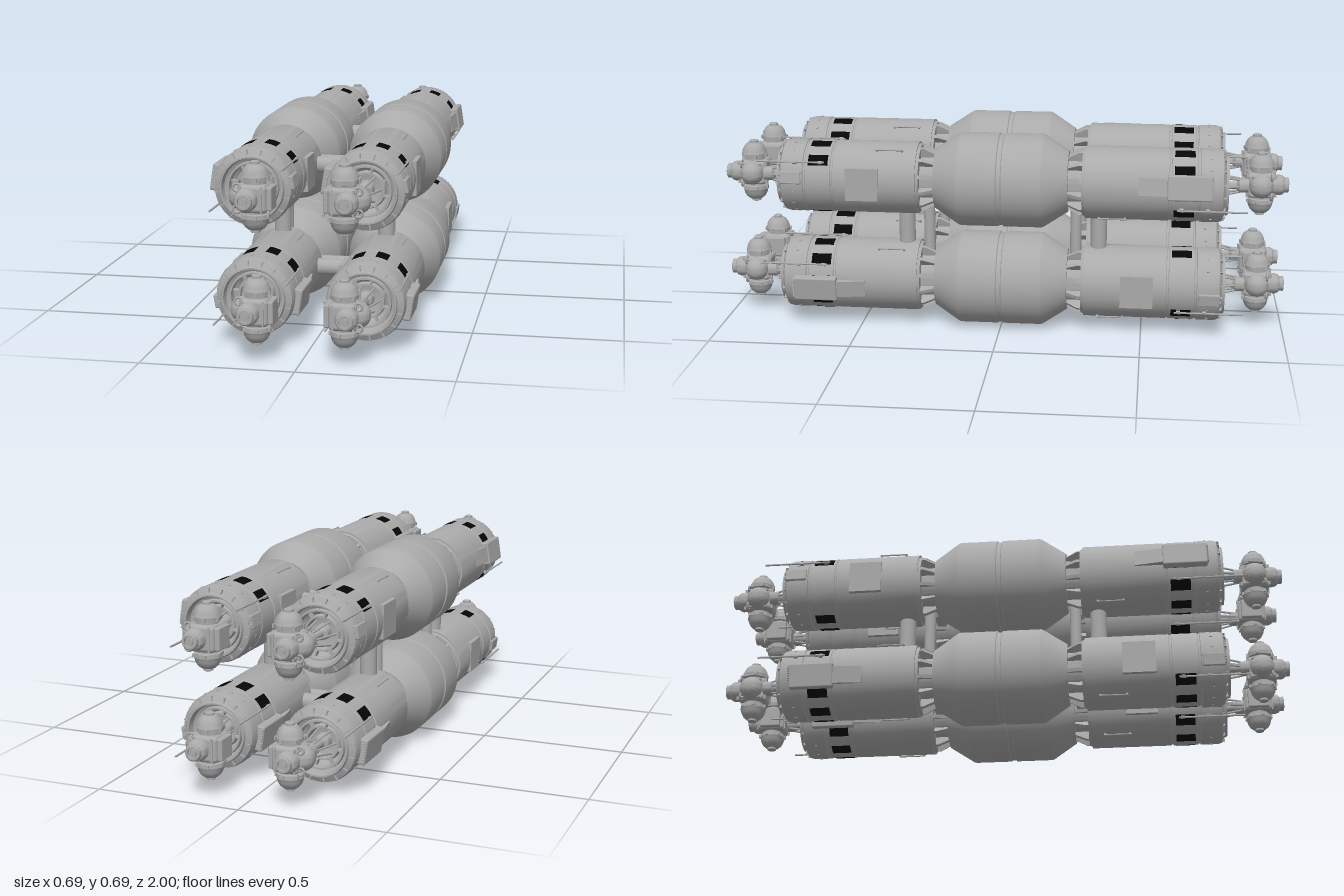
import * as THREE from 'three';
import { toCreasedNormals } from 'three/addons/utils/BufferGeometryUtils.js';
import { RoundedBoxGeometry } from 'three/addons/geometries/RoundedBoxGeometry.js';

const hull = new THREE.MeshStandardMaterial({ color: 0xaaaaaa });
hull.name = 'hullGrey';
const dark = new THREE.MeshStandardMaterial({ color: 0x060606 });
dark.name = 'windowBlack';
const rad = THREE.MathUtils.degToRad;

function add(parent, name, geometry, x = 0, y = 0, z = 0, material = hull) {
  const mesh = new THREE.Mesh(geometry, material);
  mesh.name = name;
  mesh.position.set(x, y, z);
  parent.add(mesh);
  return mesh;
}

// Turned body along z from [radius, z] pairs
function turned(profile, sides = 48) {
  const g = new THREE.LatheGeometry(profile.map(([r, z]) => new THREE.Vector2(r, z)), sides);
  return toCreasedNormals(g.rotateX(Math.PI / 2), rad(25));
}
const rodZ = (r, length, sides = 12) =>
  new THREE.CylinderGeometry(r, r, length, sides).rotateX(Math.PI / 2);
const box = (w, h, d) => new THREE.BoxGeometry(w, h, d);

// Group turned so that its local +x points outwards at the given angle
function spoke(parent, name, degrees) {
  const g = new THREE.Group();
  g.name = name;
  g.rotation.z = rad(degrees);
  parent.add(g);
  return g;
}

function makeModule() {
  const m = new THREE.Group();
  m.name = 'endModule';
  add(m, 'moduleShell', turned([
    [0, 0.285], [0.118, 0.285], [0.122, 0.295], [0.128, 0.295], [0.128, 0.585], [0.125, 0.587],
    [0.125, 0.593], [0.128, 0.595], [0.128, 0.683], [0.125, 0.685], [0.125, 0.691], [0.129, 0.693],
    [0.129, 0.755], [0.125, 0.77], [0.106, 0.78], [0.103, 0.79], [0.098, 0.79], [0.094, 0.765],
    [0.085, 0.76], [0.083, 0.773], [0.077, 0.773], [0.074, 0.745], [0.062, 0.735], [0.058, 0.75],
    [0.052, 0.75], [0.048, 0.72], [0, 0.71],
  ]));
  // Square windows round the band, left out behind the side plate
  for (let k = 0; k < 10; k++) {
    const a = 2 + 36 * k;
    if (k === 0 || k === 9) continue;
    add(m, 'window', new THREE.CylinderGeometry(0.1295, 0.1295, 0.07, 4, 1, true, rad(a + 81), rad(18))
      .rotateX(Math.PI / 2), 0, 0, 0.638, dark);
  }
  // Rim blocks, studs and tapered struts at the neck
  for (let k = 0; k < 16; k++) {
    const s = spoke(m, 'rimDetail', k * 22.5 + 8);
    add(s, 'rimBlock', box(0.018, 0.004, 0.008), 0.115, 0, 0.776);
    add(s, 'rimStud', box(0.004, 0.008, 0.008), 0.129, 0, 0.73);
    if (k % 2) add(s, 'recessRib', box(0.03, 0.006, 0.02), 0.072, 0, 0.75);
  }
  const strut = new THREE.Shape([[0.075, 0.22], [0.098, 0.235], [0.118, 0.275], [0.118, 0.29], [0.075, 0.29]]
    .map(([r, z]) => new THREE.Vector2(r, z)));
  for (let k = 0; k < 12; k++) {
    const s = spoke(m, 'neckStrut', k * 30 + 15);
    add(s, 'strutFin', new THREE.ExtrudeGeometry(strut, { depth: 0.012, bevelEnabled: false })
      .translate(0, 0, -0.006).rotateX(Math.PI / 2));
  }
  // Louvred box, its fairing and an aerial on one side
  const vent = spoke(m, 'radiator', 171);
  add(vent, 'radiatorBox', new RoundedBoxGeometry(0.032, 0.088, 0.155, 2, 0.006), 0.132, 0, 0.657);
  for (let k = 0; k < 8; k++)
    add(vent, 'louvre', box(0.018, 0.004, 0.008), 0.136, -0.032 + k * 0.009, 0.735);
  const ramp = new THREE.Shape([[0.12, 0.48], [0.129, 0.48], [0.143, 0.585], [0.12, 0.585]]
    .map(([r, z]) => new THREE.Vector2(r, z)));
  add(vent, 'radiatorFairing', new THREE.ExtrudeGeometry(ramp, { depth: 0.06, bevelEnabled: false })
    .translate(0, 0, -0.03).rotateX(Math.PI / 2));
  // Flat service plate and sensor block on the other side
  add(m, 'servicePlate', box(0.016, 0.115, 0.115), 0.122, 0, 0.482);
  const sensor = spoke(m, 'sensorBlock', 9);
  add(sensor, 'sensorHousing', new RoundedBoxGeometry(0.016, 0.045, 0.075, 2, 0.004), 0.127, 0, 0.735);
  for (const y of [-0.01, 0.01])
    add(sensor, 'sensorLens', rodZ(0.005, 0.006), 0.127, y, 0.774);
  // Aerials with their mounts
  for (const a of [33, 208]) {
    const s = spoke(m, 'aerial', a);
    add(s, 'aerialRod', rodZ(0.0035, 0.24, 8), 0.136, 0, 0.735);
    for (const z of [0.63, 0.72]) add(s, 'aerialMount', box(0.014, 0.01, 0.014), 0.131, 0, z);
  }
  // Handrail and small hatch outline
  for (const a of [58, 238]) {
    const s = spoke(m, 'handrail', a);
    add(s, 'rail', rodZ(0.003, 0.1, 6), 0.134, 0, 0.39);
    for (const z of [0.345, 0.435]) add(s, 'railPost', box(0.012, 0.006, 0.006), 0.129, 0, z);
  }
  return m;
}

function makePod() {
  const p = new THREE.Group();
  p.name = 'dockedPod';
  // Docking lattice between module and pod
  add(p, 'dockingCore', turned([[0, 0.7], [0.028, 0.7], [0.024, 0.74], [0.013, 0.75], [0.013, 0.82], [0.025, 0.83], [0.025, 0.86], [0, 0.86]], 20), 0.006);
  for (let k = 0; k < 6; k++) {
    const a = k * Math.PI / 3;
    const path = new THREE.LineCurve3(
      new THREE.Vector3(0.045 * Math.cos(a), 0.045 * Math.sin(a), 0.73),
      new THREE.Vector3(0.012 + 0.02 * Math.cos(a), 0.02 * Math.sin(a), 0.85));
    add(p, 'latticeRod', new THREE.TubeGeometry(path, 1, 0.004, 6));
  }
  // Central body with a forward port
  const body = new THREE.Group();
  body.name = 'podBody';
  body.position.set(0.042, 0, 0.905);
  p.add(body);
  add(body, 'podCore', new RoundedBoxGeometry(0.09, 0.088, 0.1, 3, 0.014));
  add(body, 'podSidePlate', new RoundedBoxGeometry(0.02, 0.074, 0.075, 2, 0.005), 0.05);
  for (const x of [-0.036, 0.03]) add(body, 'podFrame', box(0.006, 0.08, 0.106), x);
  add(body, 'forwardPort', turned([
    [0.036, 0.03], [0.036, 0.065], [0.032, 0.075], [0.026, 0.08], [0.026, 0.093], [0.023, 0.095],
    [0.017, 0.095], [0.017, 0.086], [0.011, 0.086], [0.011, 0.092], [0, 0.092],
  ], 28), -0.016);
  // Domed tanks above and below, and one on the side
  const dome = [[0.036, 0.03], [0.036, 0.05], [0.044, 0.052], [0.045, 0.066], [0.043, 0.07], [0.041, 0.08],
    [0.034, 0.093], [0.024, 0.102], [0.016, 0.104], [0.016, 0.111], [0.012, 0.113], [0, 0.113]];
  for (const turn of [0, Math.PI]) {
    add(body, 'tankDome', turned(dome, 28).rotateX(-Math.PI / 2).rotateZ(turn));
    for (let k = 0; k < 6; k++) {
      const a = k * Math.PI / 3 + 0.3;
      add(body, 'tankLug', box(0.012, 0.012, 0.012), 0.043 * Math.cos(a), turn ? -0.059 : 0.059, 0.043 * Math.sin(a));
    }
  }
  add(body, 'sideDome', turned([[0.042, 0.03], [0.042, 0.048], [0.038, 0.06], [0.03, 0.072], [0.018, 0.08], [0, 0.083]], 28)
    .rotateY(-Math.PI / 2));
  // Grapple loops
  for (const s of [-1, 1]) {
    add(body, 'grappleLoop', new THREE.TorusGeometry(0.012, 0.004, 8, 16), -0.05, s * 0.034, 0.034);
    add(body, 'grappleArm', rodZ(0.005, 0.07, 8), -0.045, s * 0.034, 0);
  }
  return p;
}

export function createModel() {
  const model = new THREE.Group();
  model.name = 'stationCluster';
  const X = 0.182, LOW = 0.166, HIGH = 0.528;

  for (const x of [-X, X]) for (const y of [LOW, HIGH]) {
    const column = new THREE.Group();
    column.name = 'column';
    column.position.set(x, y, 0);
    model.add(column);
    // Central barrel with a seam and narrow necks
    add(column, 'barrel', turned([
      [0, -0.3], [0.085, -0.3], [0.085, -0.235], [0.108, -0.235], [0.112, -0.228], [0.163, -0.15],
      [0.1655, -0.142], [0.1655, -0.01], [0.161, -0.007], [0.161, 0.007], [0.1655, 0.01], [0.1655, 0.142],
      [0.163, 0.15], [0.112, 0.228], [0.108, 0.235], [0.085, 0.235], [0.085, 0.3], [0, 0.3],
    ], 64));
    for (const back of [false, true]) {
      const end = new THREE.Group();
      end.name = back ? 'backEnd' : 'frontEnd';
      end.rotation.y = back ? Math.PI : 0;
      column.add(end);
      const module = makeModule();
      module.rotation.z = y === LOW ? Math.PI : 0;
      const pod = makePod();
      pod.rotation.z = (x > 0) !== back ? Math.PI : 0;
      end.add(module, pod);
    }
  }

  // Cross tubes joining the four columns
  const midY = (LOW + HIGH) / 2;
  for (const s of [-1, 1]) for (const [z, r, gap] of [[0.343, 0.029, 0.14], [0.262, 0.02, 0.2]]) {
    for (const y of [LOW, HIGH])
      add(model, 'horizontalTube', new THREE.CylinderGeometry(r, r, gap + 0.02, 24).rotateZ(Math.PI / 2), 0, y, s * z);
    for (const x of [-X, X])
      add(model, 'verticalTube', new THREE.CylinderGeometry(r, r, gap + 0.02, 24), x, midY, s * z);
  }
  return model;
}
